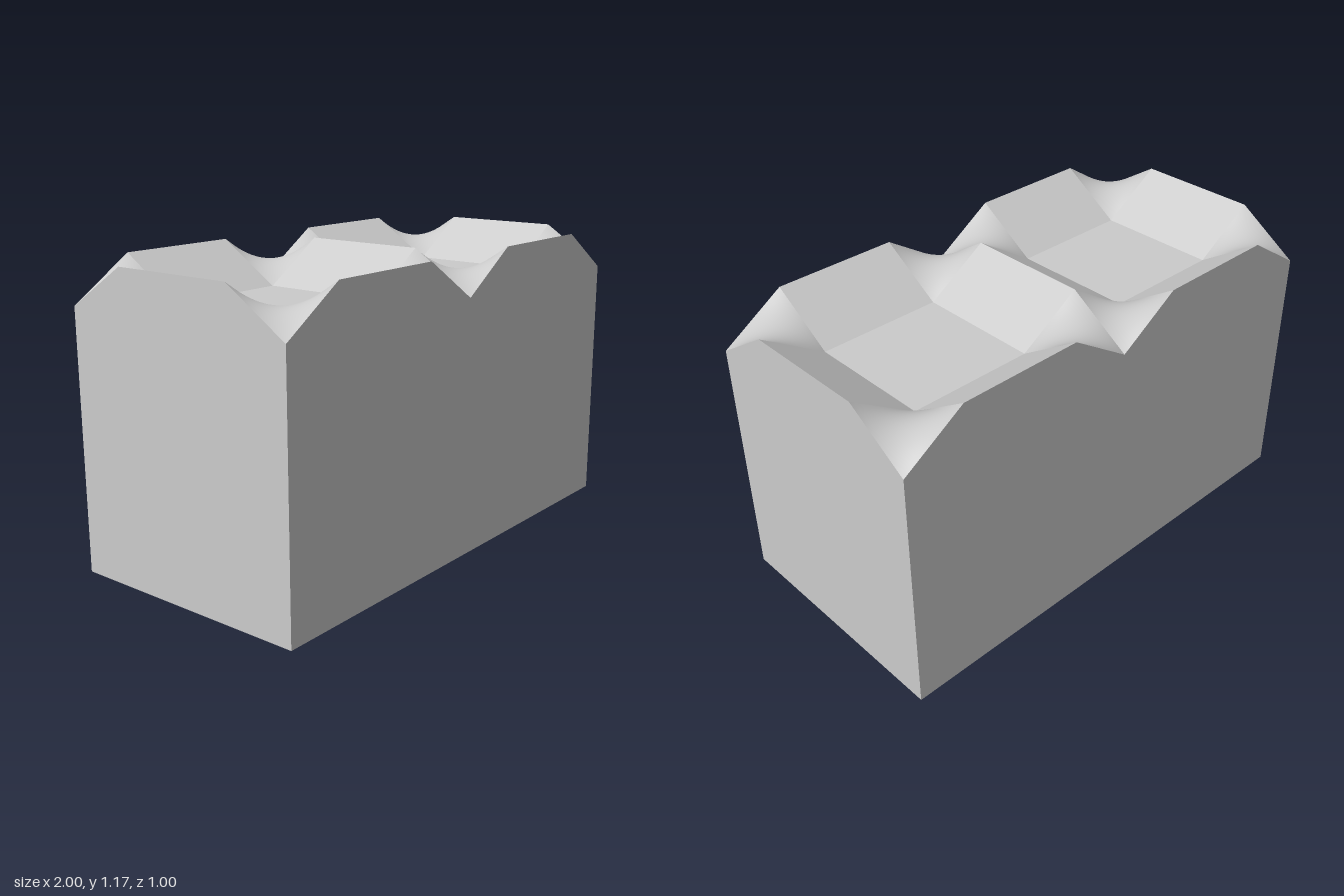
import * as THREE from 'three';
import { mergeGeometries } from 'three/addons/utils/BufferGeometryUtils.js';

const LOW = 1.005, RISE = 0.162;
const material = new THREE.MeshStandardMaterial({ color: 0xcccccc });

// 0 at a tile's border, 1 on its inner half
const ramp = (t) => Math.min(1, (0.5 - Math.abs(t)) / 0.25);

// tile height: raised edge middles, low corners, sunken centre, saddles between
function height(x, z) {
  const u = ramp(x), v = ramp(z);
  return LOW + RISE * (u + v - 2 * u * v);
}

// one patch of the tile top, with its own smooth normals
function patch(x0, x1, z0, z1, segments) {
  const g = new THREE.PlaneGeometry(x1 - x0, z1 - z0, segments, segments);
  g.rotateX(-Math.PI / 2).translate((x0 + x1) / 2, 0, (z0 + z1) / 2);
  const p = g.attributes.position;
  for (let i = 0; i < p.count; i++) p.setY(i, height(p.getX(i), p.getZ(i)));
  g.computeVertexNormals();
  return g;
}

function tileTop() {
  const cuts = [-0.5, -0.25, 0.25, 0.5];
  const parts = [];
  for (let i = 0; i < 3; i++) {
    for (let j = 0; j < 3; j++) {
      const corner = i !== 1 && j !== 1;
      parts.push(patch(cuts[i], cuts[i + 1], cuts[j], cuts[j + 1], corner ? 12 : 1));
    }
  }
  return mergeGeometries(parts);
}

// flat wall, one tile wide, following the tile's edge profile
function wall() {
  const s = new THREE.Shape();
  s.moveTo(-0.5, 0);
  s.lineTo(0.5, 0);
  for (const x of [0.5, 0.25, -0.25, -0.5]) s.lineTo(x, height(x, 0.5));
  return new THREE.ShapeGeometry(s);
}

export function createModel() {
  const group = new THREE.Group();
  const add = (name, geometry, x, z, turn = 0) => {
    const mesh = new THREE.Mesh(geometry, material);
    mesh.name = name;
    mesh.position.set(x, 0, z);
    mesh.rotation.y = turn;
    group.add(mesh);
  };

  const top = tileTop(), side = wall();

  // two matching tiles next to each other
  for (const x of [-0.5, 0.5]) {
    add('tileTop', top, x, 0);
    add('frontWall', side, x, 0.5);
    add('backWall', side, x, -0.5, Math.PI);
  }

  // end walls and underside
  add('leftWall', side, 1, 0, Math.PI / 2);
  add('rightWall', side, -1, 0, -Math.PI / 2);
  add('underside', new THREE.PlaneGeometry(2, 1).rotateX(Math.PI / 2), 0, 0);

  return group;
}
